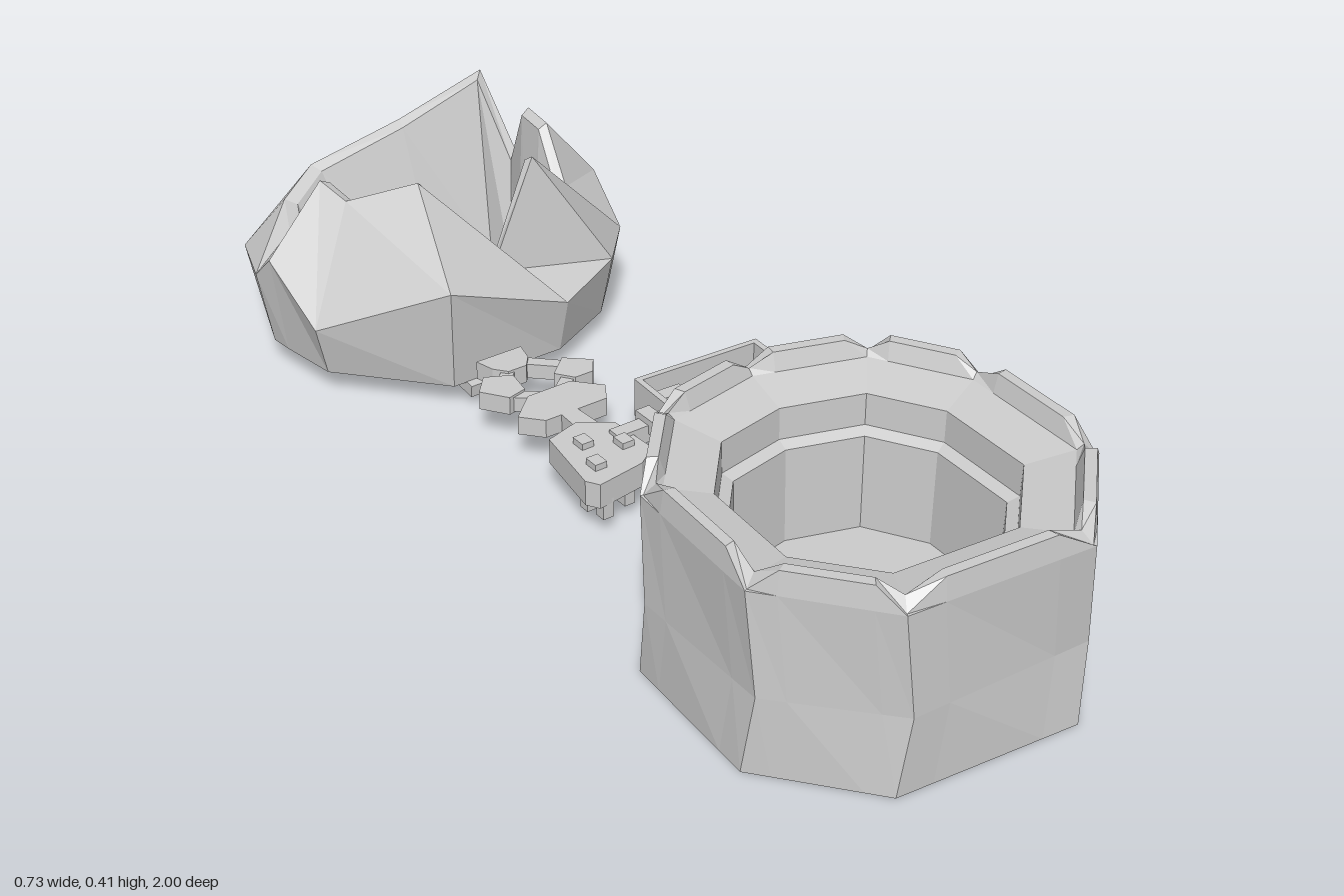
import * as THREE from 'three';

const mat = new THREE.MeshStandardMaterial({ color: 0xcccccc, flatShading: true, side: THREE.DoubleSide });

function add(parent, name, geometry, x = 0, y = 0, z = 0) {
  const m = new THREE.Mesh(geometry, mat);
  m.name = name;
  m.position.set(x, y, z);
  parent.add(m);
  return m;
}
const box = (parent, name, w, h, d, x, y, z) => add(parent, name, new THREE.BoxGeometry(w, h, d), x, y, z);

// Faceted skin through closed rings of points, with the last ring capped
function loft(rings) {
  const pos = [];
  const tri = (...p) => p.forEach((v) => pos.push(v[0], v[1], v[2]));
  const n = rings[0].length;
  for (let r = 0; r < rings.length - 1; r++) {
    for (let i = 0; i < n; i++) {
      const j = (i + 1) % n, a = rings[r], b = rings[r + 1];
      tri(a[i], a[j], b[j]);
      tri(a[i], b[j], b[i]);
    }
  }
  const last = rings[rings.length - 1];
  const c = [0, 1, 2].map((k) => last.reduce((s, p) => s + p[k], 0) / n);
  for (let i = 0; i < n; i++) tri(last[i], last[(i + 1) % n], c);
  const g = new THREE.BufferGeometry();
  g.setAttribute('position', new THREE.Float32BufferAttribute(pos, 3));
  g.computeVertexNormals();
  return g;
}

// Flat slab with an [x, z] outline, standing between two heights
function plate(parent, name, outline, y0, y1) {
  const shape = new THREE.Shape(outline.map(([x, z]) => new THREE.Vector2(x, -z)));
  const g = new THREE.ExtrudeGeometry(shape, { depth: y1 - y0, bevelEnabled: false });
  return add(parent, name, g.rotateX(-Math.PI / 2), 0, y0, 0);
}

// Slab with a [z, y] side profile and a width in x
function sideProfile(parent, name, profile, width, x) {
  const shape = new THREE.Shape(profile.map(([z, y]) => new THREE.Vector2(z, y)));
  const g = new THREE.ExtrudeGeometry(shape, { depth: width, bevelEnabled: false });
  return add(parent, name, g.translate(0, 0, -width / 2).rotateY(-Math.PI / 2), x, 0, 0);
}

// Nine-sided basin with notched rim corners and a deep stepped pit
function basin() {
  const cx = -0.01, cz = 0.64;
  const corners = [[0.02, 0.27], [0.24, 0.34], [0.347, 0.52], [0.335, 0.81], [0.147, 1.0],
    [-0.207, 0.97], [-0.363, 0.78], [-0.34, 0.48], [-0.19, 0.31]];
  const ring = (scale, yCorner, yEdge = yCorner, twist = 0) => {
    const c = Math.cos(twist), s = Math.sin(twist), out = [];
    corners.forEach((a, i) => {
      const b = corners[(i + 1) % corners.length];
      [0, 0.2, 0.8].forEach((t) => {
        const x = (a[0] + (b[0] - a[0]) * t - cx) * scale, z = (a[1] + (b[1] - a[1]) * t - cz) * scale;
        out.push([cx + x * c + z * s, t ? yEdge : yCorner, cz + z * c - x * s]);
      });
    });
    return out;
  };
  return loft([
    ring(1, 0), ring(0.99, 0.15, 0.15, 0.055), ring(1, 0.345), ring(0.985, 0.345, 0.388),
    ring(0.93, 0.365, 0.388), ring(0.9, 0.355), ring(0.675, 0.335), ring(0.67, 0.275),
    ring(0.615, 0.265), ring(0.6, 0.085),
  ]);
}

// Jagged crater: [widest x, z, y, rim x, y, z] around the wall
function crater() {
  const cols = [
    [0.29, -0.965, 0.14, 0.28, 0.385, -0.95], [0.33, -0.84, 0.15, 0.28, 0.25, -0.82],
    [0.35, -0.74, 0.18, 0.26, 0.385, -0.74], [0.362, -0.66, 0.25, 0.25, 0.385, -0.66],
    [0.35, -0.55, 0.17, 0.24, 0.28, -0.58], [0.26, -0.45, 0.17, 0.11, 0.415, -0.5],
    [0.1, -0.37, 0.16, 0.0, 0.21, -0.48], [-0.16, -0.37, 0.26, -0.12, 0.41, -0.54],
    [-0.34, -0.57, 0.15, -0.22, 0.36, -0.64], [-0.36, -0.7, 0.25, -0.24, 0.385, -0.7],
    [-0.365, -0.75, 0.2, -0.26, 0.24, -0.8], [-0.3, -0.92, 0.17, -0.22, 0.26, -0.89],
    [-0.11, -1.0, 0.16, -0.13, 0.29, -0.94], [0.1, -0.985, 0.15, 0.08, 0.33, -0.945],
  ];
  const about = (c, v, s) => c + (v - c) * s;
  return loft([
    cols.map((c) => [about(0.02, c[0], 0.93), 0.048, about(-0.68, c[1], 0.93)]),
    cols.map((c) => [c[0], c[2], c[1]]),
    cols.map((c) => [c[3], c[4], c[5]]),
    cols.map((c) => [about(0.02, c[3], 0.92), c[4] - 0.01, about(-0.68, c[5], 0.92)]),
    cols.map((c) => [about(0.07, c[3], 0.68), 0.035, about(-0.648, c[5], 0.57)]),
  ]);
}

export function createModel() {
  const model = new THREE.Group();
  model.name = 'basinAndCrater';

  add(model, 'basin', basin());
  add(model, 'crater', crater());

  // Stones on the crater floor and a step at its foot
  const stones = new THREE.Group();
  stones.name = 'craterFloorStones';
  model.add(stones);
  [[-0.03, -0.7, 0.04], [-0.06, -0.69, 0.03], [0.04, -0.71, 0.025], [0.08, -0.69, 0.022],
    [0.12, -0.71, 0.022], [0.16, -0.68, 0.022], [0, -0.58, 0.03]].forEach(([x, z, s], i) => {
    box(stones, 'stone', s, 0.016, s, x, 0.044, z).rotation.y = i * 0.5;
  });
  box(model, 'craterStep', 0.14, 0.025, 0.09, -0.05, 0.04, -0.42).rotation.x = 0.12;

  // Curved chute leaving the basin: floor and two side walls
  const chute = new THREE.Group();
  chute.name = 'chute';
  model.add(chute);
  const run = [[0.29, 0.14], [0.24, 0.122], [0.17, 0.11], [0.05, 0.105]];
  const strip = (h) => [...run, ...run.map(([z, y]) => [z, y + h + Math.max(0, z - 0.17) * 0.15]).reverse()];
  sideProfile(chute, 'chuteFloor', strip(0.015), 0.045, 0.02);
  [-1, 1].forEach((s) => sideProfile(chute, 'chuteWall', strip(0.034), 0.008, 0.02 + s * 0.02));
  box(chute, 'chuteTail', 0.03, 0.03, 0.07, 0.02, 0.115, 0.02);
  box(chute, 'crossLink', 0.12, 0.035, 0.03, 0, 0.1, 0.01);

  // Open tray with walls and blocks inside
  const tray = new THREE.Group();
  tray.name = 'tray';
  tray.position.set(0.185, 0.065, 0.02);
  tray.rotation.y = -0.05;
  model.add(tray);
  box(tray, 'trayFloor', 0.27, 0.02, 0.2, 0, 0.01, 0);
  [-1, 1].forEach((s) => {
    box(tray, 'traySide', 0.27, 0.078, 0.012, 0, 0.039, s * 0.096);
    box(tray, 'trayEnd', 0.012, 0.078, 0.2, s * 0.13, 0.039, 0);
  });
  [[-0.08, -0.06, 0.05, 0.03], [-0.06, 0.05, 0.07, 0.03], [-0.02, 0.01, 0.03, 0.06], [0.04, -0.05, 0.06, 0.03],
    [0.05, -0.01, 0.02, 0.07], [0.09, -0.03, 0.03, 0.06], [-0.1, 0, 0.02, 0.05]].forEach(([x, z, w, d]) => {
    box(tray, 'trayBlock', w, 0.04, d, x, 0.035, z);
  });
  [-0.08, 0, 0.08].forEach((x) => box(tray, 'trayRib', 0.03, 0.014, 0.12, x, -0.005, 0));

  // Low platform with feet and small blocks
  const platform = new THREE.Group();
  platform.name = 'platform';
  model.add(platform);
  plate(platform, 'platformSlab', [[-0.16, -0.05], [-0.09, -0.07], [-0.03, -0.03], [-0.025, 0.08],
    [-0.07, 0.11], [-0.17, 0.125], [-0.185, 0.1]], 0.06, 0.11);
  [[-0.15, 0.11, 0.03], [-0.09, 0.09, 0.025], [-0.08, 0.05, 0.02], [-0.15, 0.06, 0.02]].forEach(([x, z, y]) => {
    box(platform, 'foot', 0.022, 0.07 - y, 0.022, x, (0.07 + y) / 2, z);
  });
  [[-0.14, 0.07], [-0.12, 0], [-0.06, 0.04]].forEach(([x, z]) => box(platform, 'platformBlock', 0.025, 0.015, 0.03, x, 0.115, z));

  // Stepping slabs joining the platform and the crater
  const path = new THREE.Group();
  path.name = 'path';
  model.add(path);
  const y0 = 0.063, y1 = 0.1;
  plate(path, 'neck', [[-0.085, -0.13], [-0.05, -0.13], [-0.045, -0.04], [-0.09, -0.04]], y0, y1);
  plate(path, 'frontSlab', [[-0.1, -0.21], [-0.005, -0.21], [0.04, -0.16], [0.015, -0.12], [-0.12, -0.12], [-0.155, -0.16]], y0, y1);
  plate(path, 'leftSlab', [[-0.015, -0.25], [0.03, -0.29], [0.075, -0.25], [0.05, -0.215], [0.01, -0.215]], y0, y1);
  plate(path, 'rightSlab', [[-0.165, -0.275], [-0.13, -0.315], [-0.08, -0.29], [-0.09, -0.235], [-0.13, -0.225]], y0, y1);
  plate(path, 'backSlab', [[-0.11, -0.37], [-0.01, -0.37], [-0.02, -0.33], [-0.04, -0.305], [-0.08, -0.305], [-0.1, -0.33]], y0, y1);
  [[-0.09, -0.22, 0.9], [-0.01, -0.22, -0.9], [-0.005, -0.305, 0.8], [-0.09, -0.3, -0.8]].forEach(([x, z, turn]) => {
    box(path, 'link', 0.025, 0.03, 0.08, x, 0.08, z).rotation.y = turn;
  });

  return model;
}
